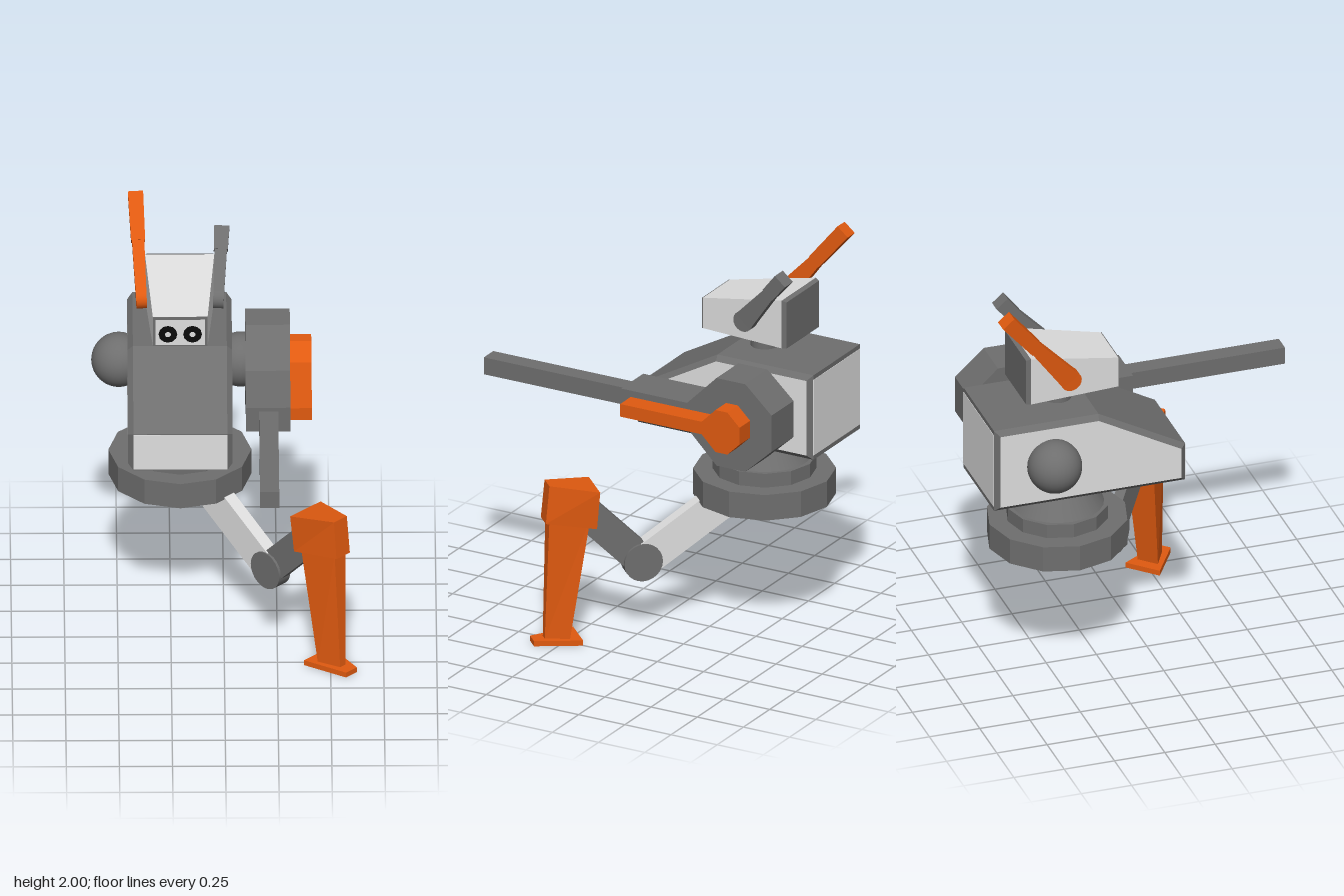
import * as THREE from 'three';

const material = (name, color) => {
  const m = new THREE.MeshStandardMaterial({ color });
  m.name = name;
  return m;
};

export function createModel() {
  const grey = material('dark grey', 0x6e6e6e);
  const white = material('off white', 0xdedede);
  const orange = material('orange', 0xe05a10);
  const black = material('black', 0x0a0a0a);

  const CX = -0.205, CZ = -0.43; // vertical axis of the base
  const model = new THREE.Group();
  model.name = 'walkerRobot';

  const add = (parent, name, geometry, mat, x = 0, y = 0, z = 0) => {
    const mesh = new THREE.Mesh(geometry, mat);
    mesh.name = name;
    mesh.position.set(x, y, z);
    parent.add(mesh);
    return mesh;
  };

  const flat = (geometry) => {
    const g = geometry.index ? geometry.toNonIndexed() : geometry;
    g.computeVertexNormals();
    return g;
  };

  // Six-sided solid from two quads, each counter-clockwise seen from above
  const hexa = (bottom, top) => {
    const p = [];
    const quad = (a, b, c, d) => [a, b, c, a, c, d].forEach((v) => p.push(...v));
    quad(...top);
    quad(...[...bottom].reverse());
    for (let i = 0; i < 4; i++) {
      const j = (i + 1) % 4;
      quad(bottom[i], bottom[j], top[j], top[i]);
    }
    const g = new THREE.BufferGeometry();
    g.setAttribute('position', new THREE.Float32BufferAttribute(p, 3));
    return flat(g);
  };

  // Side outline of [z, y] points, extruded from x0 to x1 with a chamfer
  const sideExtrude = (points, x0, x1, bevel = 0) => {
    const shape = new THREE.Shape(points.map(([z, y]) => new THREE.Vector2(-z, y)));
    const g = new THREE.ExtrudeGeometry(shape, {
      depth: x1 - x0 - 2 * bevel,
      bevelEnabled: bevel > 0,
      bevelSize: bevel,
      bevelThickness: bevel,
      bevelOffset: -bevel,
      bevelSegments: 1,
    });
    return g.rotateY(Math.PI / 2).translate(x0 + bevel, 0, 0);
  };

  // Turntable base
  add(model, 'baseDisc', flat(new THREE.CylinderGeometry(0.337, 0.337, 0.13, 12)), grey, CX, 0.705, CZ);
  add(model, 'baseStep', flat(new THREE.CylinderGeometry(0.245, 0.245, 0.07, 12)), grey, CX, 0.805, CZ);
  add(model, 'baseCone', new THREE.CylinderGeometry(0.125, 0.225, 0.14, 24), grey, CX, 0.905, CZ);

  // Body: white sides, grey chamfers, white front and back plates
  const outline = [[0.13, 0.97], [0.13, 1.165], [-0.3, 1.4], [-0.82, 1.4], [-0.82, 0.97]];
  add(model, 'body', sideExtrude(outline, -0.452, 0.04, 0.025), [white, grey]);
  add(model, 'frontPlate', new THREE.BoxGeometry(0.442, 0.185, 0.004), white, CX, 1.068, 0.13);
  add(model, 'backPlate', new THREE.BoxGeometry(0.442, 0.385, 0.004), white, CX, 1.185, -0.82);

  // Shoulder balls
  for (const s of [-1, 1]) {
    add(model, s < 0 ? 'rightShoulder' : 'leftShoulder',
      new THREE.SphereGeometry(0.13, 28, 18), grey, CX + s * 0.287, 1.195, -0.54);
  }

  // Gun arm
  const gunSide = (back, flatHalf, topHalf, half, cz, bar, front) => {
    const meet = cz + topHalf + (half - bar);
    return [
      [front, 1.198 + bar], [meet, 1.198 + bar], [cz + topHalf, 1.198 + half], [cz - topHalf, 1.198 + half],
      [back, 1.198 + flatHalf], [back, 1.198 - flatHalf],
      [cz - topHalf, 1.198 - half], [cz + topHalf, 1.198 - half], [meet, 1.198 - bar], [front, 1.198 - bar],
    ];
  };
  add(model, 'gunHousing', sideExtrude(gunSide(-0.762, 0.092, 0.078, 0.223, -0.542, 0.064, 0.052), 0.103, 0.313), grey);
  add(model, 'gunCover', sideExtrude(gunSide(-0.646, 0.043, 0.032, 0.107, -0.548, 0.032, 0), 0.313, 0.414), orange);
  add(model, 'gunBarrel', new THREE.BoxGeometry(0.09, 0.086, 0.79), grey, 0.21, 1.198, 0.433);

  // Neck and head
  add(model, 'neck', new THREE.CylinderGeometry(0.066, 0.066, 0.09, 24), grey, CX, 1.435, CZ);
  const head = new THREE.Group();
  head.name = 'head';
  head.position.x = CX;
  model.add(head);
  const ring = (yF, yB, wF, wB, zF, zB) => [[-wF, yF, zF], [wF, yF, zF], [wB, yB, zB], [-wB, yB, zB]];
  add(head, 'skull', hexa(ring(1.475, 1.475, 0.129, 0.163, -0.17, -0.615),
    ring(1.63, 1.718, 0.129, 0.163, -0.17, -0.615)), white);
  add(head, 'backOfHead', hexa(ring(1.475, 1.475, 0.163, 0.155, -0.615, -0.637),
    ring(1.718, 1.71, 0.163, 0.155, -0.615, -0.637)), grey);
  add(head, 'faceFrame', new THREE.BoxGeometry(0.258, 0.155, 0.005), grey, 0, 1.5525, -0.1685);
  add(head, 'facePanel', new THREE.BoxGeometry(0.232, 0.134, 0.004), white, 0, 1.549, -0.166);
  for (const s of [-1, 1]) {
    const eye = add(head, 'eye', new THREE.CylinderGeometry(0.044, 0.044, 0.005, 12), black, s * 0.058, 1.54, -0.163);
    const pupil = add(head, 'pupil', new THREE.CylinderGeometry(0.014, 0.014, 0.004, 10), white, s * 0.058, 1.54, -0.161);
    eye.rotation.x = pupil.rotation.x = Math.PI / 2;
  }

  // Ears: a long orange one and a short grey one, both swept back
  const makeEar = (name, s, mat, split, length) => {
    const ear = new THREE.Group();
    ear.name = name;
    ear.position.set(CX + s * 0.182, 1.59, -0.43);
    ear.rotation.set(-0.70, 0, -s * 0.05);
    model.add(ear);
    const level = (y, hx, hz) => [[-hx, y, hz], [hx, y, hz], [hx, y, -hz], [-hx, y, -hz]];
    add(ear, 'earJoint', new THREE.CylinderGeometry(0.052, 0.052, 0.05, 20).rotateZ(Math.PI / 2), mat);
    add(ear, 'earStem', hexa(level(0, 0.025, 0.05), level(split, 0.029, 0.031)), mat);
    add(ear, 'earTip', hexa(level(split, 0.033, 0.034), level(length, 0.036, 0.036)), mat);
  };
  makeEar('rightEar', -1, orange, 0.27, 0.504);
  makeEar('leftEar', 1, grey, 0.225, 0.338);

  // Leg, built outwards along its own x and turned to the diagonal
  const leg = new THREE.Group();
  leg.name = 'leg';
  leg.position.set(CX, 0, CZ);
  leg.rotation.y = -Math.PI / 4;
  model.add(leg);
  const joint = (name, x, y, r, width, mat) =>
    add(leg, name, new THREE.CylinderGeometry(r, r, width, 24).rotateX(Math.PI / 2), mat, x, y, 0);
  const link = (name, [x0, y0], [x1, y1], height, width, mat) => {
    const bar = add(leg, name, new THREE.BoxGeometry(Math.hypot(x1 - x0, y1 - y0), height, width),
      mat, (x0 + x1) / 2, (y0 + y1) / 2, 0);
    bar.rotation.z = Math.atan2(y1 - y0, x1 - x0);
  };
  const hip = [0.18, 0.65], knee = [0.6, 0.367], shinTop = [0.92, 0.69];
  joint('hipJoint', ...hip, 0.083, 0.064, white);
  joint('thighEnd', ...knee, 0.091, 0.064, white);
  joint('kneeJoint', ...knee, 0.094, 0.076, grey);
  link('thigh', hip, knee, 0.166, 0.064, white);
  link('kneeLink', knee, shinTop, 0.15, 0.05, grey);

  // Armoured shin: tapered solids, wide inside and narrow outside
  const trap = (xIn, wIn, yIn, xOut, wOut, yOut) =>
    [[xIn, yIn, wIn], [xOut, yOut, wOut], [xOut, yOut, -wOut], [xIn, yIn, -wIn]];
  add(leg, 'kneeGuard', hexa(trap(0.842, 0.088, 0.585, 1.08, 0.045, 0.62),
    trap(0.83, 0.102, 0.775, 1.062, 0.043, 0.81)), orange);
  add(leg, 'shin', hexa(trap(0.965, 0.053, 0.02, 1.078, 0.018, 0.02),
    trap(0.87, 0.075, 0.64, 1.06, 0.037, 0.64)), orange);
  add(leg, 'foot', hexa(trap(0.91, 0.09, 0, 1.135, 0.036, 0),
    trap(0.91, 0.09, 0.026, 1.135, 0.036, 0.026)), orange);

  return model;
}
